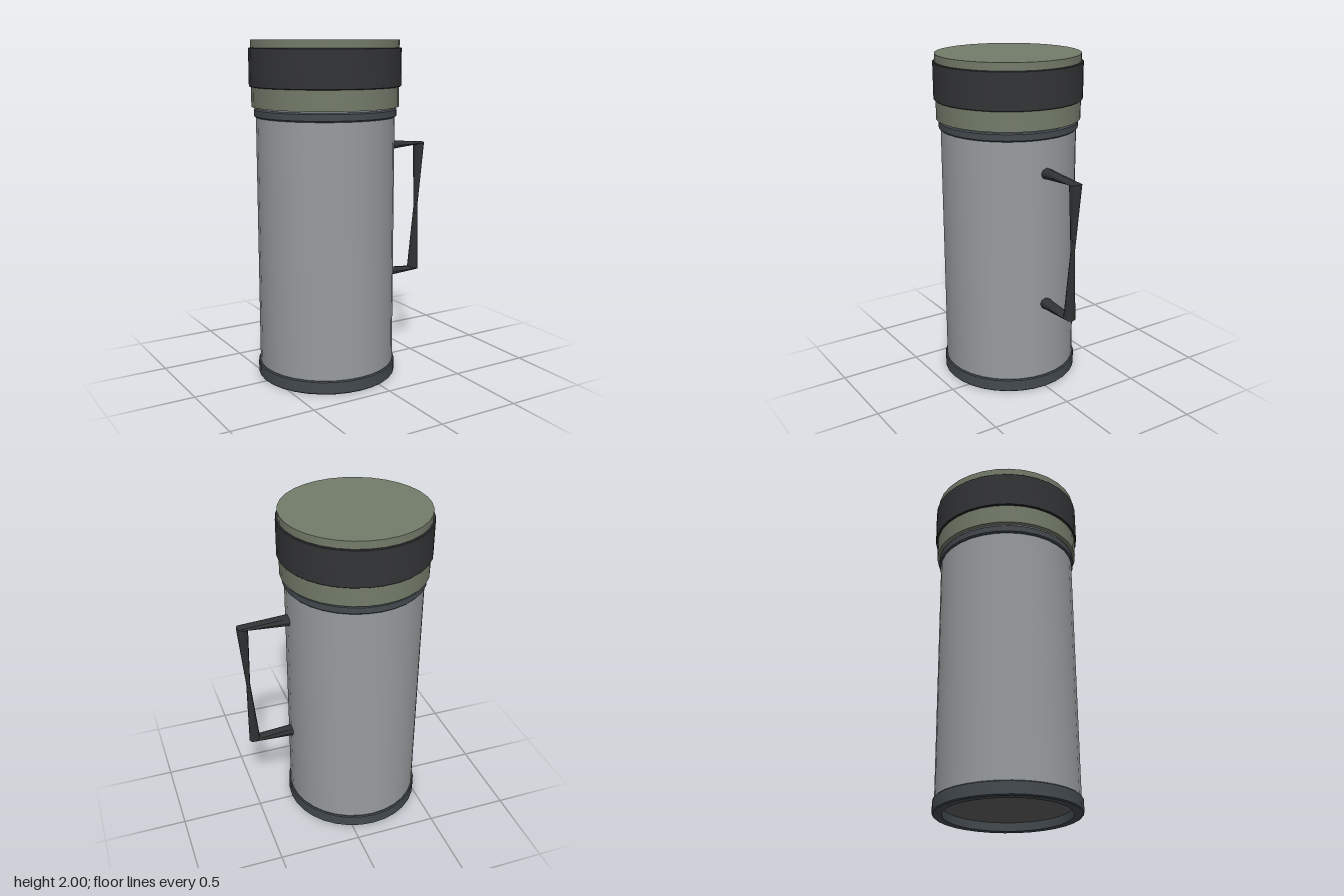
import * as THREE from 'three';
import { toCreasedNormals } from 'three/addons/utils/BufferGeometryUtils.js';

const SIDES = 32;
const AXIS_X = -0.135;

const paint = (color) => new THREE.MeshStandardMaterial({ color });
const steel = paint(0x989c9e);
const green = paint(0x737c6a);
const rubber = paint(0x434a4f);
const black = paint(0x333436);
const baseGrey = paint(0x606060);

// Turned part around the flask axis; profile runs up the outside
function turned(name, profile, material) {
  const points = profile.map(([r, y]) => new THREE.Vector2(r, y));
  const geometry = toCreasedNormals(new THREE.LatheGeometry(points, SIDES), 0.6);
  const mesh = new THREE.Mesh(geometry, material);
  mesh.name = name;
  mesh.position.x = AXIS_X;
  return mesh;
}

// Closed band with slightly bevelled outer edges
function band(name, inner, outer, y0, y1, bevel, material) {
  return turned(name, [
    [inner, y0], [outer - bevel, y0], [outer, y0 + bevel],
    [outer, y1 - bevel], [outer - bevel, y1], [inner, y1], [inner, y0],
  ], material);
}

// Skin over octagonal rings; each ring is [x, y, ux, uy, halfWidthZ]
function handleGeometry(rings, sides = 8) {
  const positions = [];
  const indices = [];
  for (const [x, y, ux, uy, w] of rings) {
    for (let i = 0; i < sides; i++) {
      const a = (i / sides) * Math.PI * 2;
      const c = Math.cos(a);
      positions.push(x + ux * c, y + uy * c, w * Math.sin(a));
    }
  }
  for (let r = 0; r < rings.length - 1; r++) {
    for (let i = 0; i < sides; i++) {
      const j = (i + 1) % sides;
      const a = r * sides + i, b = r * sides + j;
      indices.push(a, b, b + sides, a, b + sides, a + sides);
    }
  }
  const geometry = new THREE.BufferGeometry();
  geometry.setAttribute('position', new THREE.Float32BufferAttribute(positions, 3));
  geometry.setIndex(indices);
  return toCreasedNormals(geometry, 0.9);
}

export function createModel() {
  const model = new THREE.Group();
  model.name = 'flask';

  // Body with a recessed base
  model.add(turned('body', [[0.405, 0.05], [0.405, 1.64]], steel));
  model.add(turned('basePlate', [[0, 0.05], [0.405, 0.05]], baseGrey));
  model.add(band('footRing', 0.363, 0.416, 0, 0.08, 0.006, rubber));
  model.add(band('neckRing', 0.39, 0.416, 1.56, 1.612, 0.008, rubber));

  // Lid with its grip band
  model.add(turned('lid', [[0, 1.62], [0.43, 1.62], [0.43, 2], [0, 2]], green));
  model.add(band('lidGrip', 0.42, 0.442, 1.735, 1.955, 0.004, black));

  // Handle: arms flatten toward the corners, grip pinches in the middle
  const handleMaterial = paint(0x303234);
  handleMaterial.side = THREE.DoubleSide;
  const handle = new THREE.Mesh(handleGeometry([
    [0.25, 1.36, 0, 0.036, 0.037],
    [0.54, 1.362, 0.035, 0.007, 0.037],
    [0.526, 0.97, 0.012, 0, 0.013],
    [0.508, 0.555, 0.033, -0.01, 0.036],
    [0.25, 0.558, 0, -0.036, 0.036],
  ]), handleMaterial);
  handle.name = 'handle';
  model.add(handle);

  return model;
}
